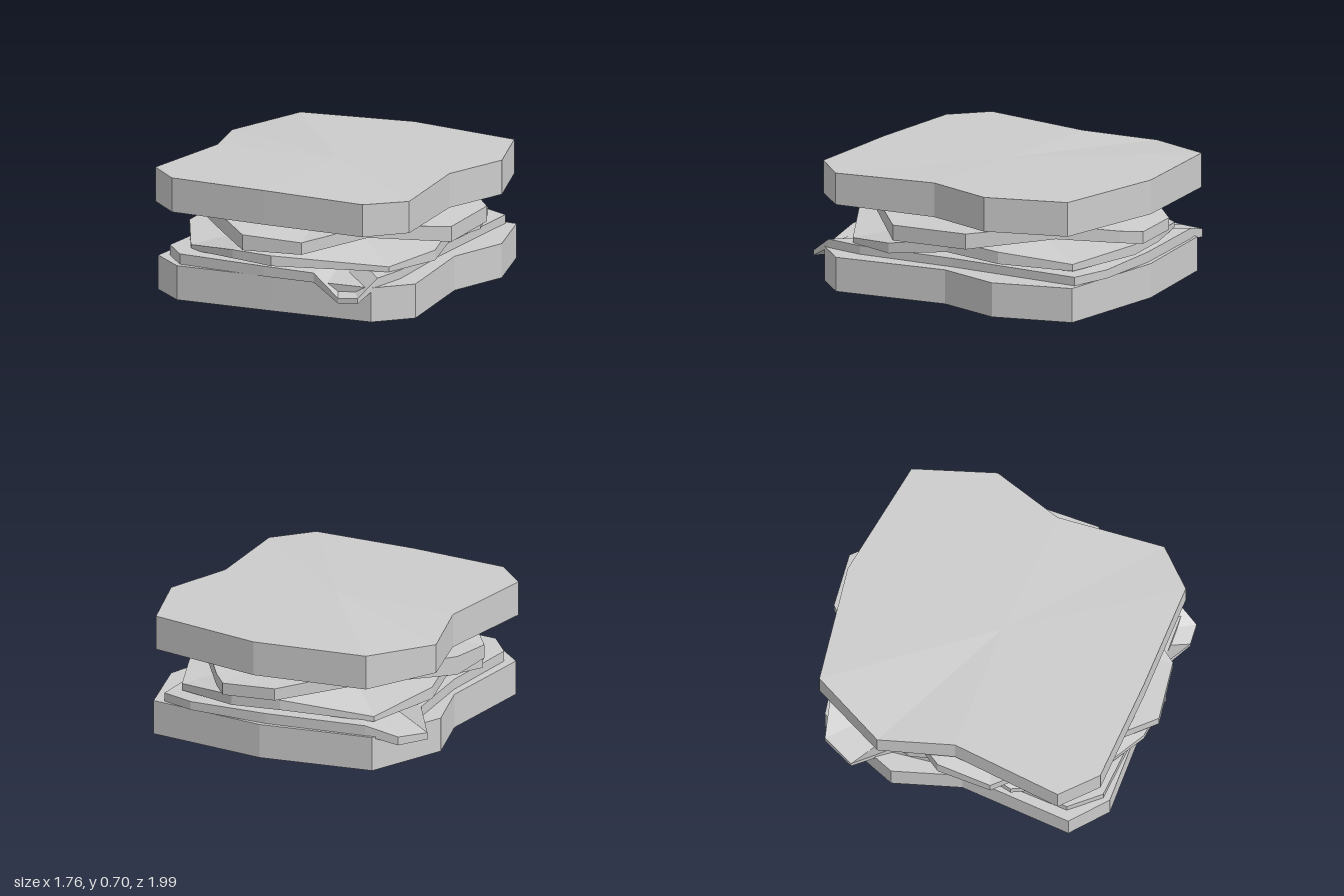
import * as THREE from 'three';

const grey = new THREE.MeshStandardMaterial({ color: 0xcccccc, flatShading: true });
grey.name = 'plain grey';

// Slab from an outline running front, right, back, left.
// Each point is [x, z, bottomY, topY]; the middle heights shape sagging or domed fillings.
function slab(name, outline, midBottom, midTop) {
  const pos = [];
  const n = outline.length;
  const add = (...corners) => corners.forEach((c) => pos.push(...c));
  const low = ([x, z, b]) => [x, b, z];
  const high = ([x, z, , t]) => [x, t, z];
  for (let i = 0; i < n; i++) {
    const p = outline[i], q = outline[(i + 1) % n];
    add([0, midTop, 0], high(p), high(q));
    add([0, midBottom, 0], low(q), low(p));
    add(low(p), low(q), high(q), low(p), high(q), high(p));
  }
  const geometry = new THREE.BufferGeometry();
  geometry.setAttribute('position', new THREE.Float32BufferAttribute(pos, 3));
  geometry.computeVertexNormals();
  const mesh = new THREE.Mesh(geometry, grey);
  mesh.name = name;
  return mesh;
}

// Gives every point of a flat outline the same bottom and top
const flat = (outline, b, t) => outline.map(([x, z]) => [x, z, b, t]);

export function createModel() {
  const group = new THREE.Group();
  group.name = 'sandwich';

  // Bottom slice of bread
  group.add(slab('bottomBread', flat([
    [0, 0.87], [0.62, 0.87], [0.81, 0.68], [0.74, 0], [0.86, -0.38], [0.74, -0.84],
    [0.02, -0.93], [-0.65, -0.84], [-0.85, -0.37], [-0.74, 0.02], [-0.8, 0.68], [-0.6, 0.86],
  ], 0, 0.2), 0, 0.2));

  // Thin slice with two drooping corners
  group.add(slab('droopingSlice', [
    [-0.05, 0.88, 0.2, 0.26], [0.27, 0.89, 0.2, 0.255], [0.46, 0.97, 0.115, 0.145],
    [0.58, 0.965, 0.125, 0.155], [0.64, 0.83, 0.2, 0.25], [0.68, 0.6, 0.2, 0.25],
    [0.66, 0, 0.2, 0.25], [0.68, -0.82, 0.2, 0.25], [0.47, -0.91, 0.21, 0.26],
    [0, -0.9, 0.2, 0.26], [-0.6, -0.83, 0.2, 0.26], [-0.79, -0.79, 0.16, 0.21],
    [-0.88, -0.6, 0.15, 0.19], [-0.74, -0.4, 0.2, 0.26], [-0.7, 0.1, 0.2, 0.26],
    [-0.74, 0.65, 0.2, 0.26], [-0.6, 0.82, 0.2, 0.26],
  ], 0.2, 0.27));

  // Wavy middle filling
  group.add(slab('wavyFilling', [
    [-0.22, 0.93, 0.3, 0.35], [0.04, 0.97, 0.29, 0.35], [0.64, 0.67, 0.25, 0.28],
    [0.78, 0.35, 0.26, 0.32], [0.72, 0, 0.3, 0.37], [0.74, -0.35, 0.28, 0.35],
    [0.6, -0.76, 0.26, 0.3], [0.2, -0.93, 0.29, 0.35], [-0.1, -0.91, 0.3, 0.36],
    [-0.6, -0.72, 0.25, 0.28], [-0.76, -0.3, 0.28, 0.35], [-0.7, 0, 0.31, 0.38],
    [-0.77, 0.32, 0.27, 0.33], [-0.6, 0.67, 0.25, 0.28],
  ], 0.27, 0.41));

  // Upper slice turned a quarter so its blunt corners stick out of the sides
  group.add(slab('turnedSlice', [
    [-0.13, 0.99, 0.37, 0.46], [0.22, 0.95, 0.37, 0.44], [0.48, 0.61, 0.42, 0.49],
    [0.85, 0.28, 0.36, 0.45], [0.85, -0.2, 0.37, 0.46], [0.52, -0.6, 0.41, 0.49],
    [0.31, -0.9, 0.38, 0.45], [0.22, -1, 0.37, 0.44], [-0.1, -0.98, 0.38, 0.45],
    [-0.5, -0.58, 0.42, 0.5], [-0.82, -0.1, 0.37, 0.48], [-0.83, 0.22, 0.37, 0.45],
    [-0.62, 0.48, 0.43, 0.5], [-0.45, 0.65, 0.4, 0.49],
  ], 0.38, 0.51));

  // Top slice of bread, its rim slightly uneven
  group.add(slab('topBread', [
    [-0.05, 0.87, 0.5, 0.7], [0.58, 0.9, 0.5, 0.69], [0.78, 0.7, 0.5, 0.685],
    [0.74, 0.07, 0.5, 0.7], [0.88, -0.34, 0.5, 0.7], [0.74, -0.81, 0.5, 0.7],
    [0.05, -0.95, 0.5, 0.7], [-0.63, -0.88, 0.5, 0.7], [-0.86, -0.45, 0.5, 0.67],
    [-0.75, -0.02, 0.5, 0.695], [-0.84, 0.63, 0.5, 0.7], [-0.65, 0.82, 0.5, 0.7],
  ], 0.5, 0.7));

  return group;
}
